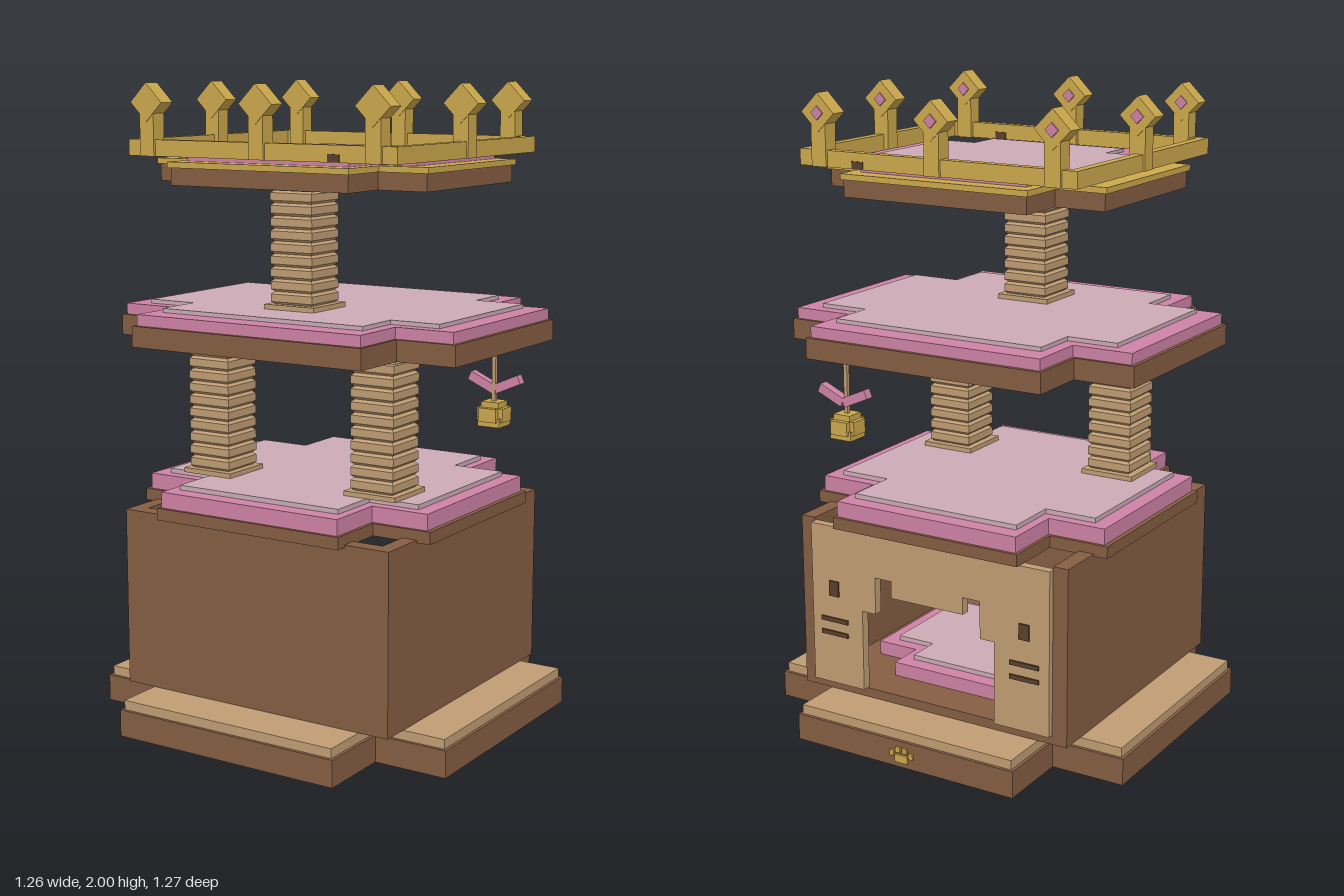
import * as THREE from 'three';

const mat = (name, color) => {
  const m = new THREE.MeshStandardMaterial({ color });
  m.name = name;
  return m;
};

export function createModel() {
  const brown = mat('brown wood', 0x855d43);
  const dark = mat('dark wood', 0x5a3f2b);
  const tan = mat('tan rope', 0xc09d73);
  const gold = mat('gold', 0xcca84d);
  const pink = mat('pink fabric', 0xce82a6);
  const pale = mat('pale pink plush', 0xcbabb5);

  const root = new THREE.Group();
  root.name = 'petTower';

  const add = (parent, name, geo, material, x = 0, y = 0, z = 0) => {
    const m = new THREE.Mesh(geo, material);
    m.name = name;
    m.position.set(x, y, z);
    parent.add(m);
    return m;
  };
  const box = (parent, name, material, w, h, d, x, y, z) =>
    add(parent, name, new THREE.BoxGeometry(w, h, d), material, x, y, z);
  const group = (name, parent = root) => {
    const g = new THREE.Group();
    g.name = name;
    parent.add(g);
    return g;
  };

  // Plus-shaped plate: one arm reaches ax by az, the other bx by bz (half sizes)
  const cross = (parent, name, material, [ax, az, bx, bz], y0, y1) => {
    const s = new THREE.Shape([
      [ax, -az], [ax, az], [bx, az], [bx, bz], [-bx, bz], [-bx, az],
      [-ax, az], [-ax, -az], [-bx, -az], [-bx, -bz], [bx, -bz], [bx, -az],
    ].map(([x, z]) => new THREE.Vector2(x, z)));
    const g = new THREE.ExtrudeGeometry(s, { depth: y1 - y0, bevelEnabled: false });
    g.rotateX(-Math.PI / 2);
    return add(parent, name, g, material, 0, y0, 0);
  };

  // Square scratching post with stacked rope windings and end plates
  const post = (name, x, z, y0, y1, turns) => {
    const g = group(name);
    const step = (y1 - y0 - 0.03) / turns, pts = [];
    for (let i = 0; i < turns; i++) {
      const y = y0 + 0.015 + i * step;
      for (const [r, t] of [[0.066, 0], [0.075, 0.2], [0.075, 0.8], [0.066, 1]])
        pts.push(new THREE.Vector2(r * Math.SQRT2, y + t * step));
    }
    const geo = new THREE.LatheGeometry(pts, 4, Math.PI / 4).toNonIndexed();
    geo.computeVertexNormals();
    add(g, 'ropeWinding', geo, tan, x, 0, z);
    for (const y of [y0 + 0.0075, y1 - 0.0075])
      box(g, 'postEndPlate', tan, 0.18, 0.015, 0.18, x, y, z);
  };

  // Base
  const base = group('base');
  cross(base, 'baseSlab', brown, [0.63, 0.39, 0.39, 0.63], 0, 0.085);
  cross(base, 'baseTread', tan, [0.62, 0.38, 0.38, 0.62], 0.085, 0.115);
  const paw = group('pawBadge', base);
  box(paw, 'pawPad', gold, 0.045, 0.025, 0.008, 0, 0.03, -0.633);
  for (const [x, y] of [[-0.034, 0.045], [-0.012, 0.058], [0.012, 0.058], [0.034, 0.045]])
    box(paw, 'pawToe', gold, 0.016, 0.018, 0.008, x, y, -0.633);

  // Hollow house, open at the top corners
  const house = group('house');
  box(house, 'houseFloor', brown, 0.94, 0.03, 0.93, 0, 0.13, 0);
  box(house, 'frontWall', brown, 0.86, 0.565, 0.05, 0, 0.3975, 0.445);
  for (const s of [-1, 1])
    box(house, 'sideWall', brown, 0.05, 0.565, 0.935, s * 0.455, 0.3975, 0.0025);

  // Back panel with an eared doorway
  const panel = new THREE.Shape([
    [-0.43, 0.145], [-0.24, 0.145], [-0.24, 0.41], [-0.19, 0.41], [-0.19, 0.53], [-0.13, 0.53],
    [-0.13, 0.475], [0.13, 0.475], [0.13, 0.53], [0.19, 0.53], [0.19, 0.41], [0.24, 0.41],
    [0.24, 0.145], [0.43, 0.145], [0.43, 0.67], [-0.43, 0.67],
  ].map(([x, y]) => new THREE.Vector2(x, y)));
  add(house, 'doorPanel', new THREE.ExtrudeGeometry(panel, { depth: 0.03, bevelEnabled: false }),
    tan, 0, 0, -0.485);
  for (const s of [-1, 1]) {
    box(house, 'panelWindow', dark, 0.035, 0.05, 0.008, s * 0.345, 0.465, -0.487);
    for (const y of [0.36, 0.315])
      box(house, 'panelSlot', dark, 0.1, 0.014, 0.008, s * 0.345, y, -0.487);
  }
  cross(house, 'bedCushion', pink, [0.36, 0.22, 0.22, 0.34], 0.145, 0.19);
  cross(house, 'bedTop', pale, [0.31, 0.18, 0.18, 0.29], 0.19, 0.205);

  // Lower shelf
  const lower = group('lowerShelf');
  cross(lower, 'shelfBoard', brown, [0.525, 0.31, 0.33, 0.505], 0.672, 0.71);
  cross(lower, 'shelfCushion', pink, [0.51, 0.3, 0.32, 0.495], 0.71, 0.76);
  cross(lower, 'shelfPlush', pale, [0.46, 0.265, 0.29, 0.44], 0.76, 0.775);

  // Middle shelf on two posts
  for (const s of [-1, 1]) post(s > 0 ? 'leftPost' : 'rightPost', s * 0.3, 0.195, 0.775, 1.205, 10);
  const middle = group('middleShelf');
  cross(middle, 'shelfBoard', brown, [0.605, 0.315, 0.41, 0.51], 1.205, 1.27);
  cross(middle, 'shelfCushion', pink, [0.593, 0.305, 0.4, 0.497], 1.27, 1.305);
  cross(middle, 'shelfPlush', pale, [0.525, 0.265, 0.36, 0.42], 1.305, 1.318);

  // Top shelf on one post
  post('upperPost', 0, 0.175, 1.318, 1.695, 9);
  const top = group('topShelf');
  cross(top, 'shelfBoard', brown, [0.478, 0.265, 0.315, 0.427], 1.695, 1.748);
  cross(top, 'goldTrim', gold, [0.487, 0.272, 0.322, 0.436], 1.748, 1.766);
  cross(top, 'shelfCushion', pink, [0.43, 0.238, 0.287, 0.38], 1.766, 1.784);
  cross(top, 'shelfPlush', pale, [0.36, 0.19, 0.24, 0.305], 1.784, 1.794);

  // Crown rails
  const crown = group('crown');
  for (const s of [-1, 1]) {
    box(crown, 'crownRail', gold, 0.95, 0.05, 0.03, 0, 1.805, s * 0.41);
    box(crown, 'crownSideRail', gold, 0.03, 0.05, 0.79, s * 0.46, 1.805, 0);
    box(crown, 'railStud', dark, 0.04, 0.022, 0.036, 0.265, 1.793, s * 0.41);
  }
  // Crown points: a stem, a diamond tip and a small gem behind
  for (const ix of [-1, 0, 1]) for (const iz of [-1, 0, 1]) {
    if (!ix && !iz) continue;
    const x = ix * (iz ? 0.4 : 0.455), z = iz * 0.407;
    const p = group('crownPoint', crown);
    p.position.set(x, 0, z);
    box(p, 'pointStem', gold, 0.052, 0.145, 0.052, 0, 1.8525, 0);
    box(p, 'pointTip', gold, 0.083, 0.083, 0.056, 0, 1.941, 0).rotation.z = Math.PI / 4;
    box(p, 'pointGem', pink, 0.03, 0.03, 0.008, 0, 1.94, -0.029).rotation.z = Math.PI / 4;
  }

  // Hanging bell toy
  const toy = group('hangingToy');
  toy.position.set(0.4, 0, -0.32);
  box(toy, 'toyHook', gold, 0.05, 0.018, 0.05, 0, 1.196, 0);
  box(toy, 'toyString', tan, 0.013, 0.21, 0.013, 0, 1.09, 0);
  for (const s of [-1, 1])
    box(toy, 'toyBow', pink, 0.095, 0.03, 0.03, s * 0.045, 1.047, -0.01).rotation.z = s * 0.42;
  box(toy, 'bellCore', gold, 0.062, 0.08, 0.062, 0, 0.95, 0);
  box(toy, 'bellBand', gold, 0.092, 0.045, 0.062, 0, 0.949, 0);
  box(toy, 'bellBand', gold, 0.062, 0.045, 0.096, 0, 0.949, 0);
  box(toy, 'bellRim', gold, 0.078, 0.03, 0.078, 0, 0.925, 0);
  box(toy, 'bellSlit', dark, 0.05, 0.008, 0.014, 0, 0.909, 0);

  return root;
}
